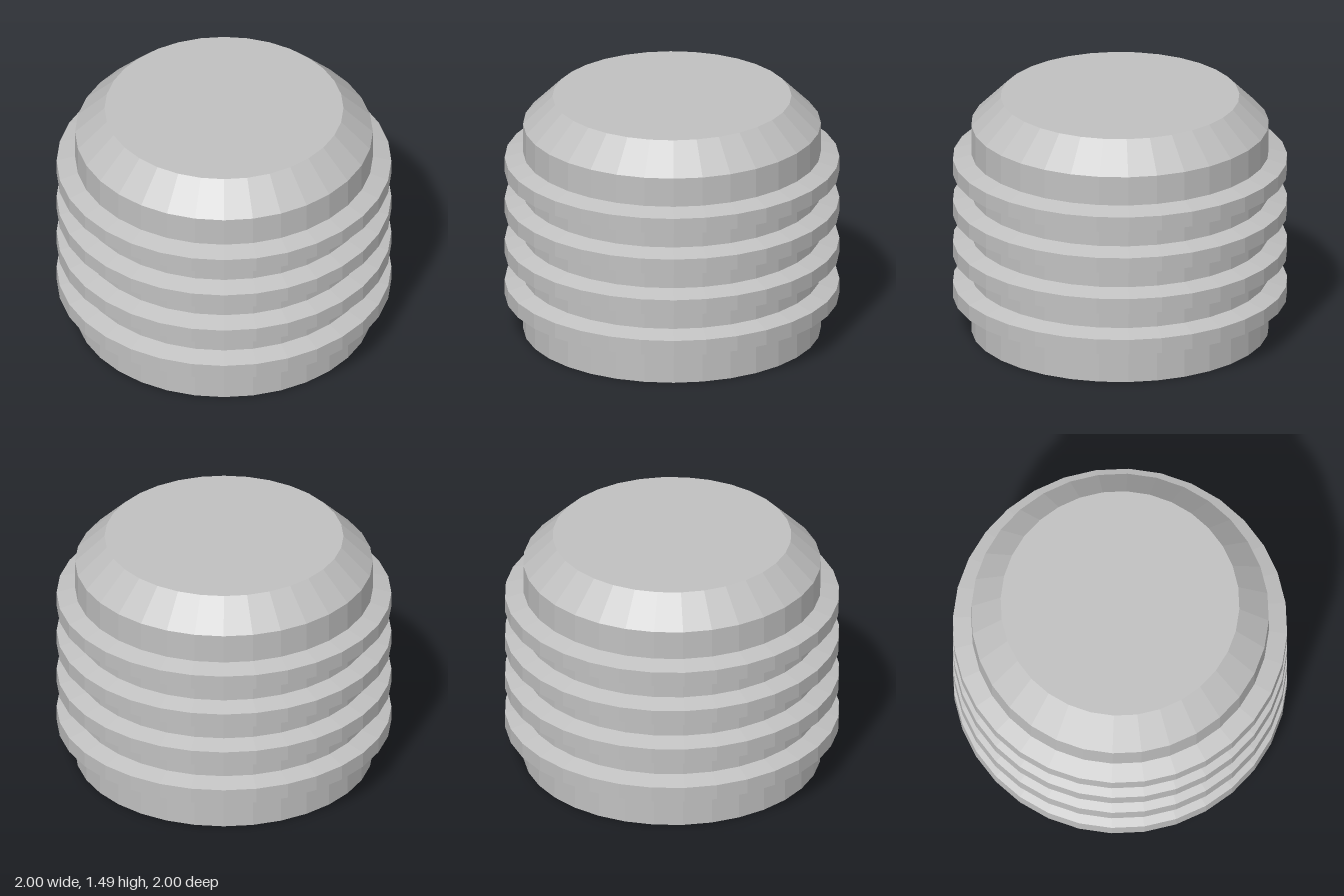
import * as THREE from 'three';

const SIDES = 32;
const BODY_R = 0.89, RIB_R = 1, TOP_R = 0.714;
const HEIGHT = 1.49, SHOULDER_Y = 1.314;
const RIBS = 4, FIRST_RIB_Y = 0.184, RIB_PITCH = 0.262;

export function createModel() {
  const group = new THREE.Group();
  group.name = 'ribbedPlug';

  const grey = new THREE.MeshStandardMaterial({ color: 0xc0c0c0, flatShading: true });
  grey.name = 'grey';

  // Profile from the centre of the base, up the side, to the centre of the top
  const profile = [[0, 0], [BODY_R, 0]];
  for (let i = 0; i < RIBS; i++) {
    const y = FIRST_RIB_Y + i * RIB_PITCH;
    // Each rib has a flat rim between two bevels
    profile.push([BODY_R, y], [RIB_R, y + 0.035], [RIB_R, y + 0.129], [BODY_R, y + 0.163]);
  }
  // Bevelled shoulder and flat top
  profile.push([BODY_R, SHOULDER_Y], [TOP_R, HEIGHT], [0, HEIGHT]);

  const points = profile.map(([r, y]) => new THREE.Vector2(r, y));
  const body = new THREE.Mesh(new THREE.LatheGeometry(points, SIDES), grey);
  body.name = 'ribbedBody';
  group.add(body);
  return group;
}
